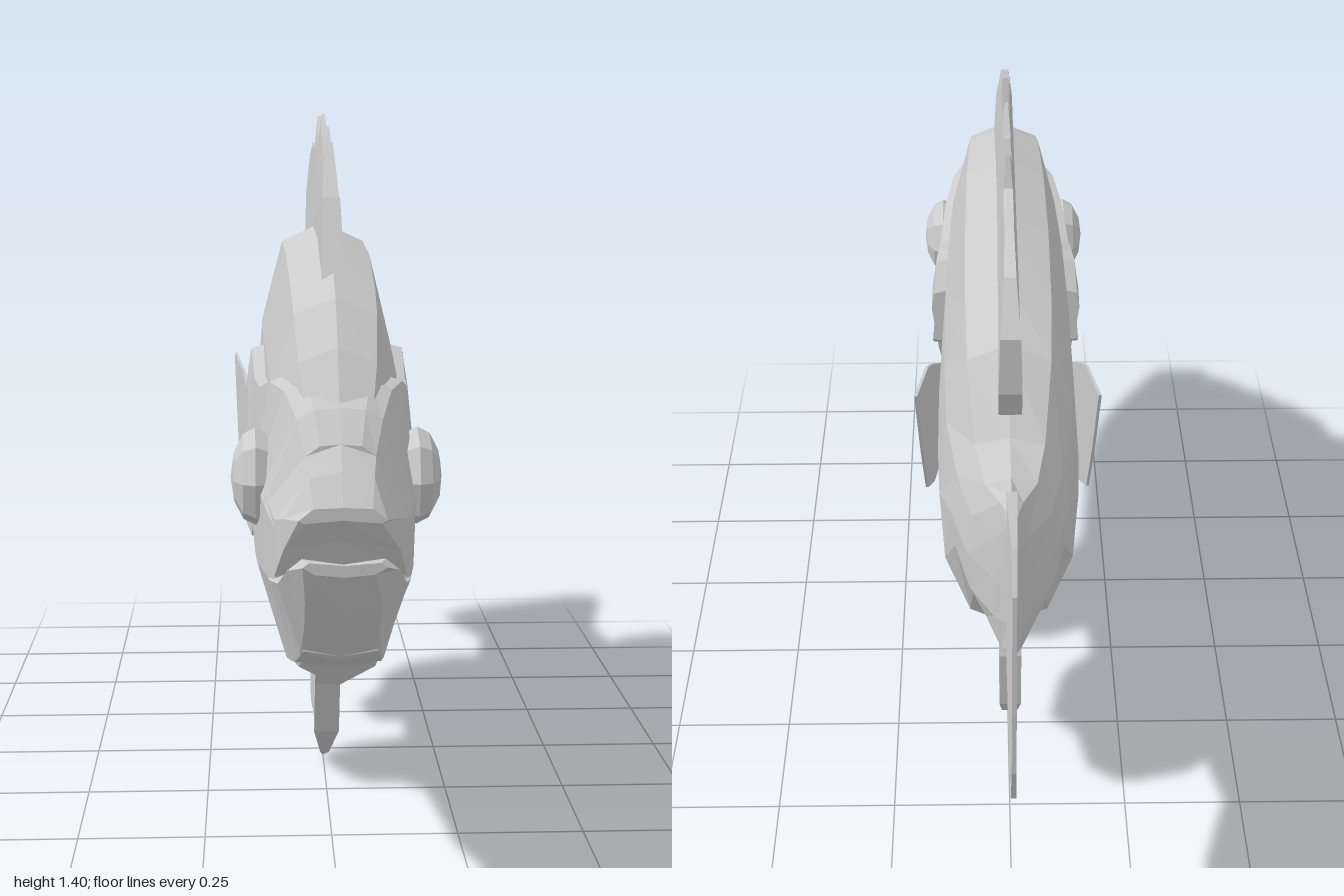
import * as THREE from 'three';

const material = new THREE.MeshStandardMaterial({ color: 0xcccccc, flatShading: true, side: THREE.DoubleSide });

function add(group, name, geometry) {
  const mesh = new THREE.Mesh(geometry, material);
  mesh.name = name;
  group.add(mesh);
  return mesh;
}

// Skin between mirrored cross-sections, listed front to back.
// Each ring: { z, half: [[x, y], ...] from top centre to bottom centre }
function loft(rings) {
  const pos = [], index = [];
  const n = rings[0].half.length * 2 - 2;
  for (const { z, half } of rings) {
    const mirrored = half.slice(1, -1).reverse().map(([x, y]) => [-x, y]);
    for (const [x, y] of [...half, ...mirrored]) pos.push(x, y, z);
  }
  for (let i = 0; i < rings.length - 1; i++) {
    for (let j = 0; j < n; j++) {
      const a = i * n + j, b = i * n + (j + 1) % n;
      index.push(a, b, a + n, b, b + n, a + n);
    }
  }
  const last = (rings.length - 1) * n;
  for (let j = 1; j < n - 1; j++) {
    index.push(0, j + 1, j, last, last + j, last + j + 1);
  }
  const g = new THREE.BufferGeometry();
  g.setAttribute('position', new THREE.Float32BufferAttribute(pos, 3));
  g.setIndex(index);
  g.computeVertexNormals();
  return g;
}

// Thin fin from a [z, y] outline; xRule(side, y, z) places both faces (side is -1 or 1)
function fin(outline, xRule) {
  const shape = new THREE.Shape(outline.map(([z, y]) => new THREE.Vector2(z, y)));
  const g = new THREE.ExtrudeGeometry(shape, { depth: 2, bevelEnabled: false });
  g.translate(0, 0, -1).rotateY(-Math.PI / 2);
  const p = g.attributes.position;
  for (let i = 0; i < p.count; i++) {
    p.setX(i, xRule(Math.sign(p.getX(i)), p.getY(i), p.getZ(i)));
  }
  g.computeVertexNormals();
  return g;
}

const lerp = THREE.MathUtils.mapLinear;
const clamp = THREE.MathUtils.clamp;

export function createModel() {
  const fish = new THREE.Group();
  fish.name = 'fish';

  // Body and tail stalk: z, top, bottom, half width
  const bodyRings = [
    [0.79, 0.91, 0.44, 0.10], [0.72, 1.0, 0.38, 0.12], [0.63, 1.08, 0.355, 0.13],
    [0.53, 1.12, 0.34, 0.135], [0.27, 1.17, 0.305, 0.143], [0, 1.178, 0.3, 0.147],
    [-0.22, 1.155, 0.33, 0.145], [-0.35, 1.09, 0.39, 0.14], [-0.47, 0.96, 0.61, 0.115],
    [-0.6, 0.965, 0.61, 0.083], [-0.68, 0.985, 0.6, 0.035], [-0.715, 0.96, 0.62, 0.008],
  ].map(([z, top, bottom, w]) => ({
    z,
    half: [[0, 0], [0.58, 0.045], [0.88, 0.25], [1, 0.5], [0.94, 0.74], [0.58, 0.94], [0, 1]]
      .map(([x, t]) => [x * w, top + (bottom - top) * t]),
  }));
  add(fish, 'body', loft(bodyRings));

  // Head with raised gill covers: z, top, bottom, top corner x, half width, bottom corner x
  const headRings = [
    [0.85, 0.85, 0.475, 0.06, 0.115, 0.065], [0.80, 0.905, 0.445, 0.075, 0.13, 0.075],
    [0.73, 0.945, 0.42, 0.095, 0.14, 0.08], [0.65, 0.95, 0.403, 0.12, 0.148, 0.09],
    [0.55, 0.925, 0.41, 0.138, 0.152, 0.1], [0.41, 0.918, 0.455, 0.145, 0.157, 0.12],
    [0.38, 0.92, 0.5, 0.147, 0.158, 0.132], [0.30, 0.945, 0.66, 0.15, 0.16, 0.154],
    [0.285, 0.95, 0.725, 0.15, 0.161, 0.16], [0.23, 0.957, 0.72, 0.153, 0.163, 0.163],
    [0.19, 0.9, 0.75, 0.158, 0.164, 0.163],
  ].map(([z, top, bottom, xt, w, xb]) => ({
    z,
    half: [[0, top], [xt * 0.6, top - 0.003], [xt, top - 0.02],
      [w, top + (bottom - top) * 0.38], [w * 0.97, top + (bottom - top) * 0.65],
      [xb, bottom + 0.01], [0, bottom]],
  }));
  add(fish, 'headAndGillCovers', loft(headRings));

  // Upper snout, overhanging the open mouth
  add(fish, 'snout', loft([
    { z: 0.93, half: [[0, 0.757], [0.05, 0.755], [0.075, 0.735], [0.065, 0.73], [0, 0.735]] },
    { z: 0.89, half: [[0, 0.81], [0.055, 0.8], [0.1, 0.73], [0.1, 0.675], [0, 0.69]] },
    { z: 0.85, half: [[0, 0.85], [0.06, 0.83], [0.115, 0.72], [0.115, 0.62], [0, 0.62]] },
    { z: 0.78, half: [[0, 0.91], [0.07, 0.885], [0.13, 0.75], [0.125, 0.6], [0, 0.6]] },
  ]));

  // Jutting lower jaw
  add(fish, 'lowerJaw', loft([
    { z: 1.0, half: [[0, 0.675], [0.06, 0.68], [0.07, 0.672], [0.05, 0.66], [0, 0.655]] },
    { z: 0.95, half: [[0, 0.665], [0.07, 0.675], [0.095, 0.655], [0.065, 0.6], [0, 0.585]] },
    { z: 0.9, half: [[0, 0.63], [0.085, 0.64], [0.11, 0.62], [0.065, 0.54], [0, 0.525]] },
    { z: 0.84, half: [[0, 0.61], [0.1, 0.62], [0.122, 0.61], [0.07, 0.48], [0, 0.465]] },
    { z: 0.76, half: [[0, 0.6], [0.11, 0.61], [0.13, 0.6], [0.078, 0.44], [0, 0.425]] },
  ]));

  // Spiny dorsal fin
  add(fish, 'dorsalFin', fin([
    [0.55, 1.1], [0.46, 1.25], [0.43, 1.24], [0.33, 1.35], [0.3, 1.31], [0.22, 1.38],
    [0.21, 1.34], [0.15, 1.38], [0.14, 1.34], [0.05, 1.405], [0.01, 1.355], [-0.04, 1.37],
    [-0.06, 1.33], [-0.17, 1.4], [-0.19, 1.34], [-0.25, 1.33], [-0.35, 1.34], [-0.47, 1.31],
    [-0.535, 1.22], [-0.53, 1.1], [-0.48, 1.02], [-0.42, 0.98], [-0.34, 1.04], [0, 1.1],
  ], (s, y) => s * clamp(lerp(y, 1.18, 1.41, 0.022, 0.003), 0.003, 0.022)));

  // Tail fin
  add(fish, 'tailFin', fin([
    [-0.64, 0.94], [-0.67, 0.985], [-0.82, 1.04], [-0.955, 1.09], [-1, 1.02],
    [-0.995, 0.75], [-0.985, 0.6], [-0.945, 0.495], [-0.82, 0.535], [-0.69, 0.6], [-0.64, 0.65],
  ], (s, y, z) => s * clamp(lerp(z, -0.7, -1, 0.01, 0.004), 0.004, 0.01)));

  // Anal fin
  add(fish, 'analFin', fin([
    [-0.08, 0.36], [-0.13, 0.2], [-0.16, 0.17], [-0.27, 0.13], [-0.35, 0.215], [-0.46, 0.245],
    [-0.53, 0.33], [-0.55, 0.48], [-0.52, 0.58], [-0.47, 0.63], [-0.3, 0.45],
  ], (s, y) => s * clamp(lerp(y, 0.13, 0.3, 0.004, 0.022), 0.004, 0.022)));

  // Pelvic fin
  add(fish, 'pelvicFin', fin([
    [0.38, 0.33], [0.29, 0.245], [0.24, 0.125], [0.13, 0.04], [0.04, 0.002], [0.01, 0.12], [0.01, 0.33],
  ], (s, y) => s * clamp(lerp(y, 0, 0.12, 0.001, 0.026), 0.001, 0.026)));

  for (const side of [1, -1]) {
    const label = side > 0 ? 'left' : 'right';

    // Pectoral fin, flaring outwards towards its tip
    add(fish, label + 'PectoralFin', fin([
      [0.14, 0.73], [0, 0.82], [-0.06, 0.85], [-0.2, 0.872], [-0.15, 0.7],
      [-0.1, 0.565], [-0.02, 0.52], [0.07, 0.51], [0.12, 0.6],
    ], (s, y, z) => side * lerp(z, 0.14, -0.2, 0.142, 0.188) + s * 0.003));

    // Faceted eye
    const eye = new THREE.SphereGeometry(0.09, 8, 6).rotateZ(-Math.PI / 2).scale(0.5, 1, 1);
    add(fish, label + 'Eye', eye).position.set(side * 0.146, 0.76, 0.67);
  }
  return fish;
}
